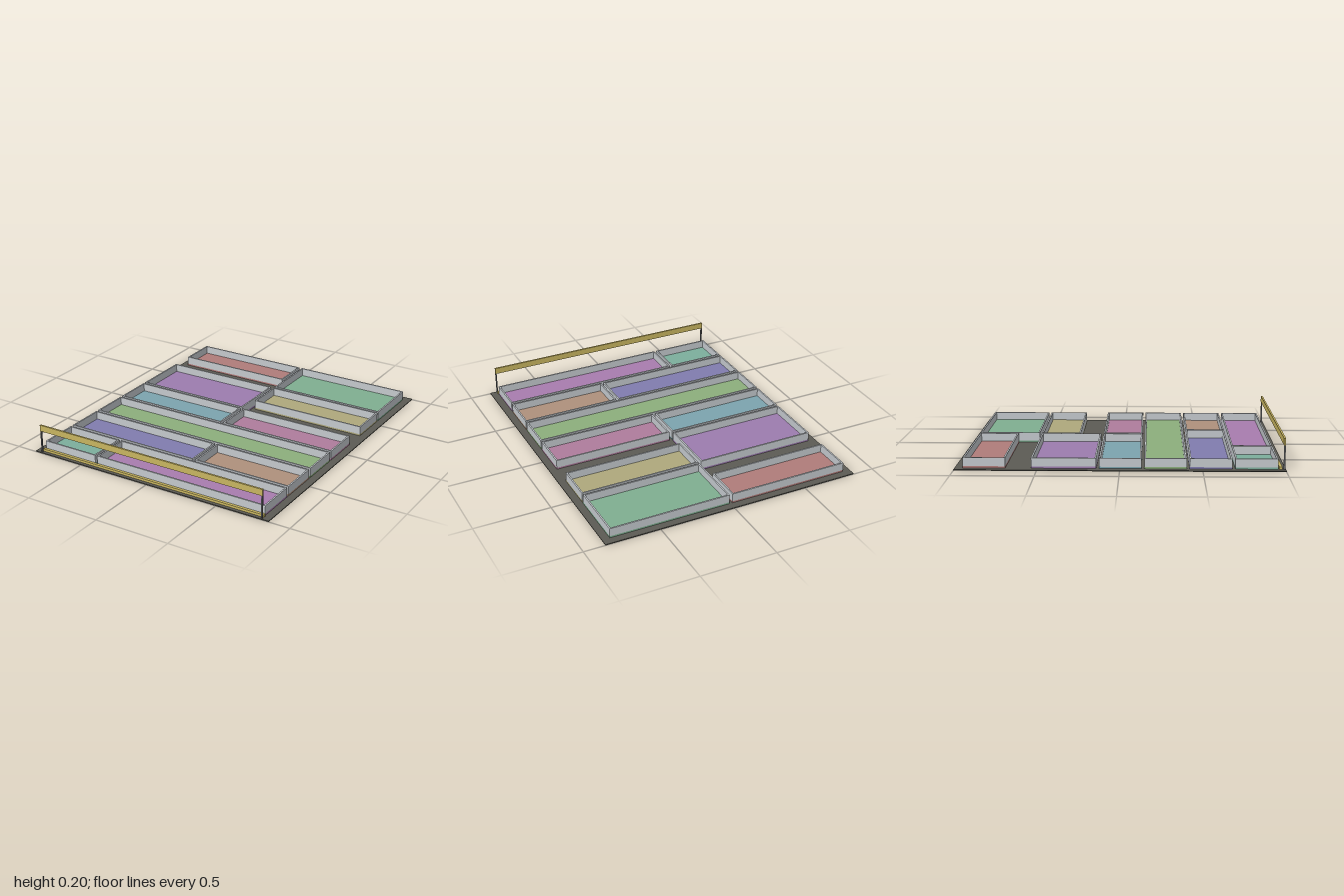
import * as THREE from 'three';

const BASE_TOP = 0.006, FLOOR_TOP = 0.017, WALL_TOP = 0.07, WALL = 0.01;

// Open trays: name, floor colour, x range, z range
const TRAYS = [
  ['redTray', 0xb07c7a, -0.81, -0.01, -0.95, -0.693],
  ['greenTray', 0x7fae90, 0.01, 0.81, -0.95, -0.553],
  ['violetTray', 0x9c7cae, -0.81, -0.01, -0.537, -0.142],
  ['oliveTray', 0xaea87c, 0.01, 0.81, -0.537, -0.28],
  ['blueGreenTray', 0x7ca4ae, -0.81, -0.01, -0.126, 0.131],
  ['pinkTray', 0xae7c9c, 0.01, 0.81, -0.126, 0.131],
  ['longTray', 0x8cae7c, -0.81, 0.81, 0.148, 0.405],
  ['blueTray', 0x807cae, -0.81, 0.13, 0.422, 0.679],
  ['brownTray', 0xae907c, 0.146, 0.81, 0.422, 0.679],
  ['tealTray', 0x7cae9c, -0.81, -0.418, 0.697, 0.954],
  ['magentaTray', 0xa87cae, -0.402, 0.81, 0.697, 0.954],
];

const material = (color) => new THREE.MeshStandardMaterial({ color });

// Box given by its minimum and maximum on each axis
function box(name, mat, x0, x1, y0, y1, z0, z1) {
  const mesh = new THREE.Mesh(new THREE.BoxGeometry(x1 - x0, y1 - y0, z1 - z0), mat);
  mesh.position.set((x0 + x1) / 2, (y0 + y1) / 2, (z0 + z1) / 2);
  mesh.name = name;
  return mesh;
}

// Coloured floor with a grey wall frame standing on it
function tray(name, color, wallMat, x0, x1, z0, z1) {
  const group = new THREE.Group();
  group.name = name;
  group.add(
    box('trayFloor', material(color), x0, x1, BASE_TOP, FLOOR_TOP, z0, z1),
    box('backWall', wallMat, x0, x1, FLOOR_TOP, WALL_TOP, z0, z0 + WALL),
    box('frontWall', wallMat, x0, x1, FLOOR_TOP, WALL_TOP, z1 - WALL, z1),
    box('rightWall', wallMat, x0, x0 + WALL, FLOOR_TOP, WALL_TOP, z0 + WALL, z1 - WALL),
    box('leftWall', wallMat, x1 - WALL, x1, FLOOR_TOP, WALL_TOP, z0 + WALL, z1 - WALL),
  );
  return group;
}

export function createModel() {
  const model = new THREE.Group();
  model.name = 'trayBoard';
  const wallMat = material(0xc4c9cd);
  const yellow = material(0xc8b560);
  const postMat = material(0x66686a);

  // Thin dark base plate
  model.add(box('basePlate', material(0x5c5b54), -0.86, 0.86, 0, BASE_TOP, -1, 1));

  for (const [name, color, x0, x1, z0, z1] of TRAYS) {
    model.add(tray(name, color, wallMat, x0, x1, z0, z1));
  }

  // Low strip and raised rail along the front edge
  model.add(box('frontStrip', yellow, -0.815, 0.815, BASE_TOP, 0.022, 0.96, 0.978));
  model.add(box('frontRail', yellow, -0.815, 0.815, 0.155, 0.197, 0.985, 0.997));
  for (const s of [-1, 1]) {
    model.add(box(s > 0 ? 'leftPost' : 'rightPost', postMat,
      s * 0.811 - 0.004, s * 0.811 + 0.004, BASE_TOP, 0.155, 0.986, 0.996));
  }
  return model;
}
